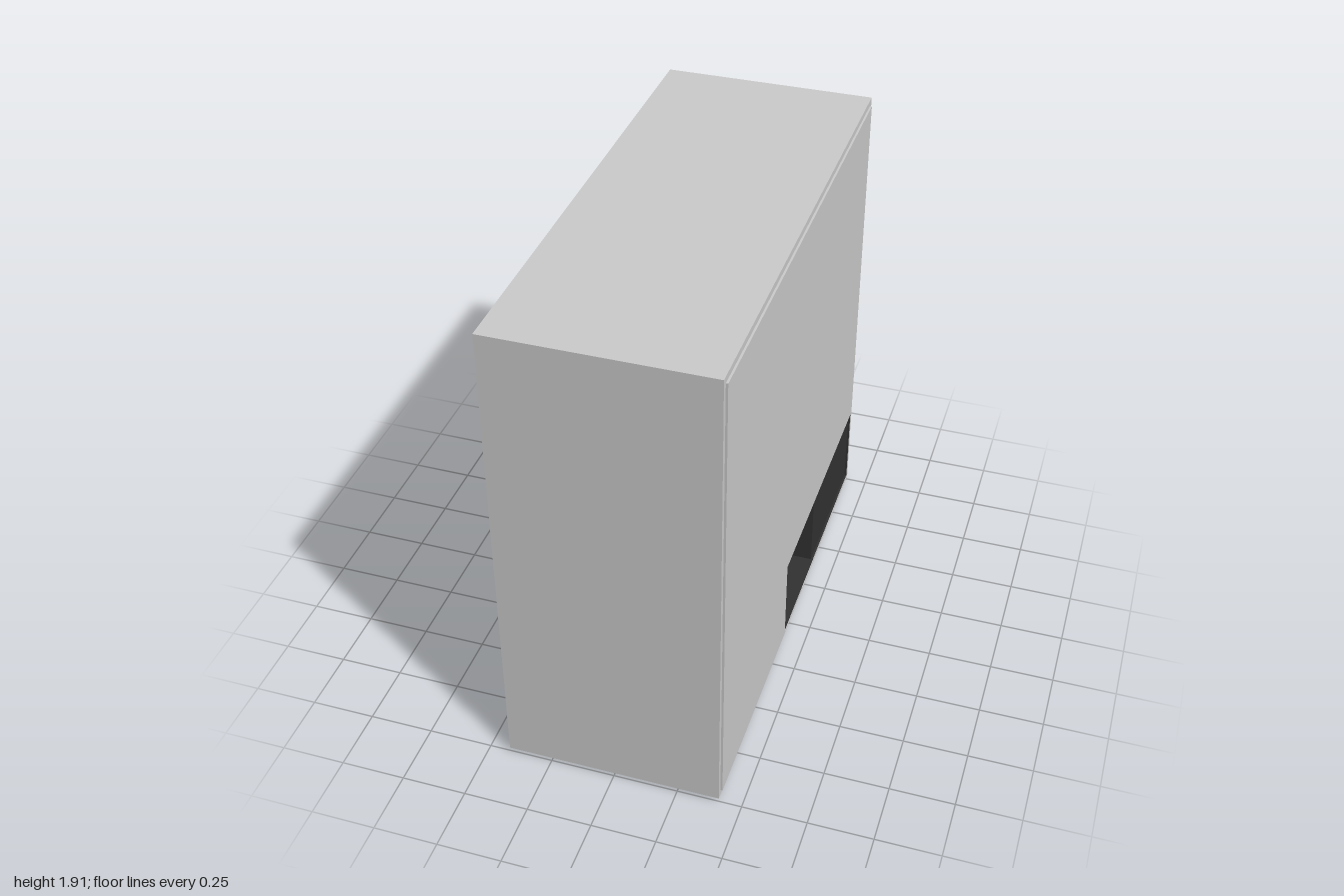
import * as THREE from 'three';

const grey = new THREE.MeshStandardMaterial({ color: 0xcccccc });
const dark = new THREE.MeshStandardMaterial({ color: 0x323232 });

// Rectangle outline from two corners
const rect = (Type, a0, b0, a1, b1) => {
  const p = new Type();
  p.moveTo(a0, b0);
  p.lineTo(a1, b0);
  p.lineTo(a1, b1);
  p.lineTo(a0, b1);
  p.closePath();
  return p;
};

// Rectangular plate with rectangular holes; each rectangle is [a0, b0, a1, b1]
const plate = (outer, holes, depth) => {
  const shape = rect(THREE.Shape, ...outer);
  holes.forEach((h) => shape.holes.push(rect(THREE.Path, ...h)));
  return new THREE.ExtrudeGeometry(shape, { depth, bevelEnabled: false });
};

// Side profile in (-z, y), extruded along x from x0 to x1
const sidePlate = (outer, holes, x0, x1) =>
  plate(outer, holes, x1 - x0).rotateY(Math.PI / 2).translate(x0, 0, 0);

// Floor plan in (x, z), extruded from y0 up to y1
const floorPlate = (outer, holes, y0, y1) =>
  plate(outer, holes, y1 - y0).rotateX(Math.PI / 2).translate(0, y1, 0);

export function createModel() {
  const group = new THREE.Group();
  const add = (name, geometry, material = grey) => {
    const mesh = new THREE.Mesh(geometry, material);
    mesh.name = name;
    group.add(mesh);
    return mesh;
  };

  // Opening through both sides, in (-z, y)
  const opening = [-0.105, 0.05, 0.965, 0.4];

  // Main casing, standing on the underside plate
  add('casing', sidePlate([-1, 0.035, 1, 1.915], [opening], -0.42, 0.412));

  // Slightly raised cover on the left side
  add('sideCover', sidePlate([-0.98, 0.04, 0.975, 1.89], [opening], 0.412, 0.42));

  // Dark lining of the opening
  const lining = [-0.102, 0.053, 0.962, 0.397];
  add('openingLining', sidePlate(opening, [lining], -0.418, 0.418), dark);

  // Dark block filling the rear part of the opening
  const block = add('rearBlock', new THREE.BoxGeometry(0.82, 0.35, 0.61), dark);
  block.position.set(0, 0.225, -0.66);

  // Underside plate with ventilation slots
  const slots = [];
  for (let i = 0; i < 8; i++) {
    const z = -0.925 + i * 0.043;
    slots.push([-0.34, z, 0.34, z + 0.025]);
  }
  add('undersidePlate', floorPlate([-0.42, -1, 0.412, 1], slots, 0.015, 0.035));

  // Rectangular foot ring under the front
  add('footRing', floorPlate([-0.32, 0.14, 0.32, 0.94], [[-0.29, 0.17, 0.29, 0.91]], 0, 0.015), dark);

  // Small round cap under the middle
  const cap = add('roundCap', new THREE.CylinderGeometry(0.085, 0.085, 0.008, 40));
  cap.position.set(0, 0.011, -0.215);

  return group;
}
